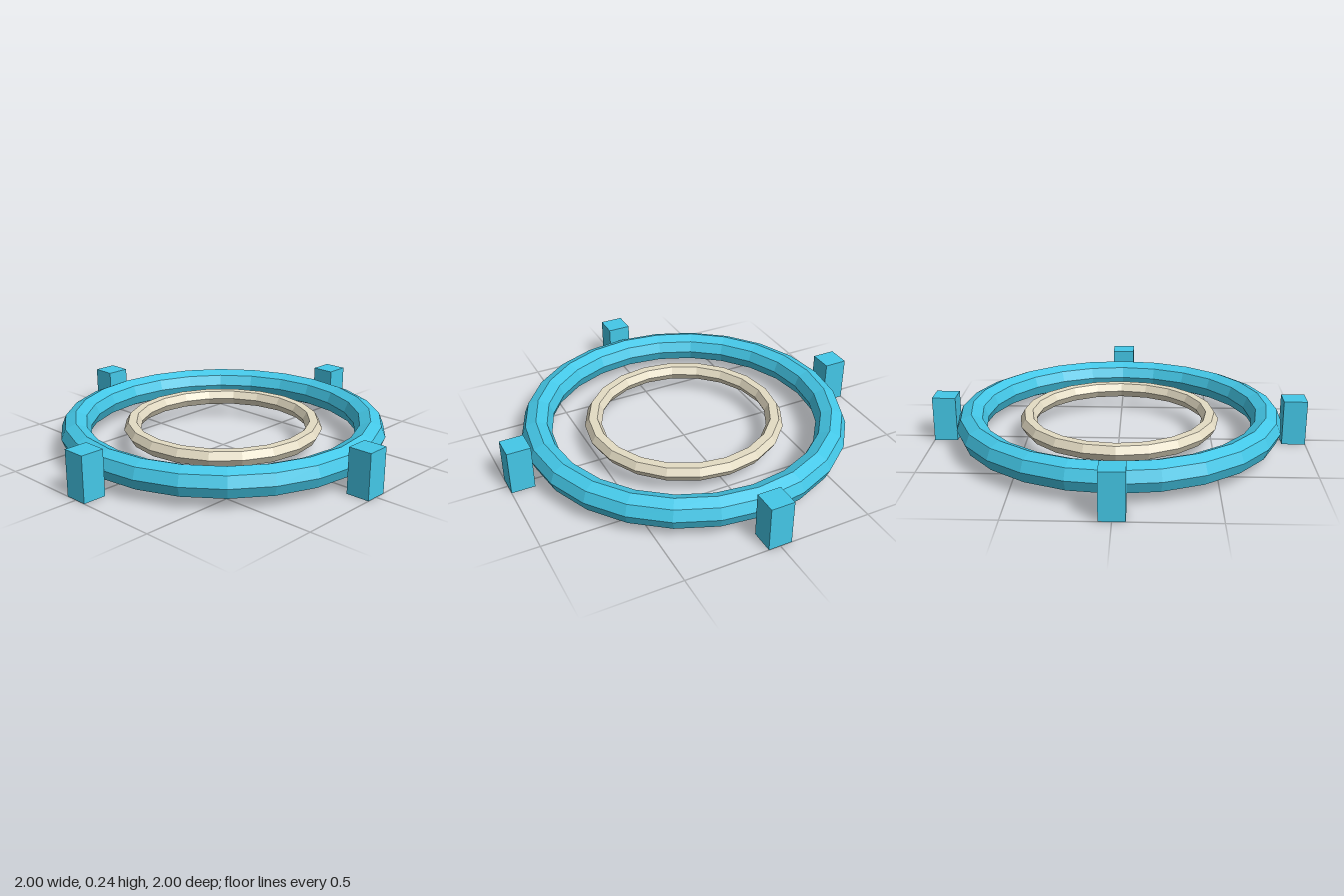
import * as THREE from 'three';

export function createModel() {
  const model = new THREE.Group();
  const blue = new THREE.MeshStandardMaterial({ color: 0x44c8e8, flatShading: true });
  const sand = new THREE.MeshStandardMaterial({ color: 0xe4dcc4, flatShading: true });
  const midHeight = 0.12;

  // A faceted ring lying flat at mid height
  function addRing(name, radius, tube, sides, segments, material) {
    const geometry = new THREE.TorusGeometry(radius, tube, sides, segments).rotateX(-Math.PI / 2);
    const ring = new THREE.Mesh(geometry, material);
    ring.name = name;
    ring.position.y = midHeight;
    model.add(ring);
  }
  addRing('outerRing', 0.79, 0.08, 8, 24, blue);
  addRing('innerRing', 0.49, 0.045, 6, 20, sand);

  // Four upright blocks around the outer ring
  const blockGeometry = new THREE.BoxGeometry(0.125, 0.24, 0.125);
  const sides = { left: [1, 0], back: [0, -1], right: [-1, 0], front: [0, 1] };
  for (const [side, [x, z]] of Object.entries(sides)) {
    const block = new THREE.Mesh(blockGeometry, blue);
    block.name = side + 'Block';
    block.position.set(x * 0.9375, midHeight, z * 0.9375);
    model.add(block);
  }
  return model;
}
